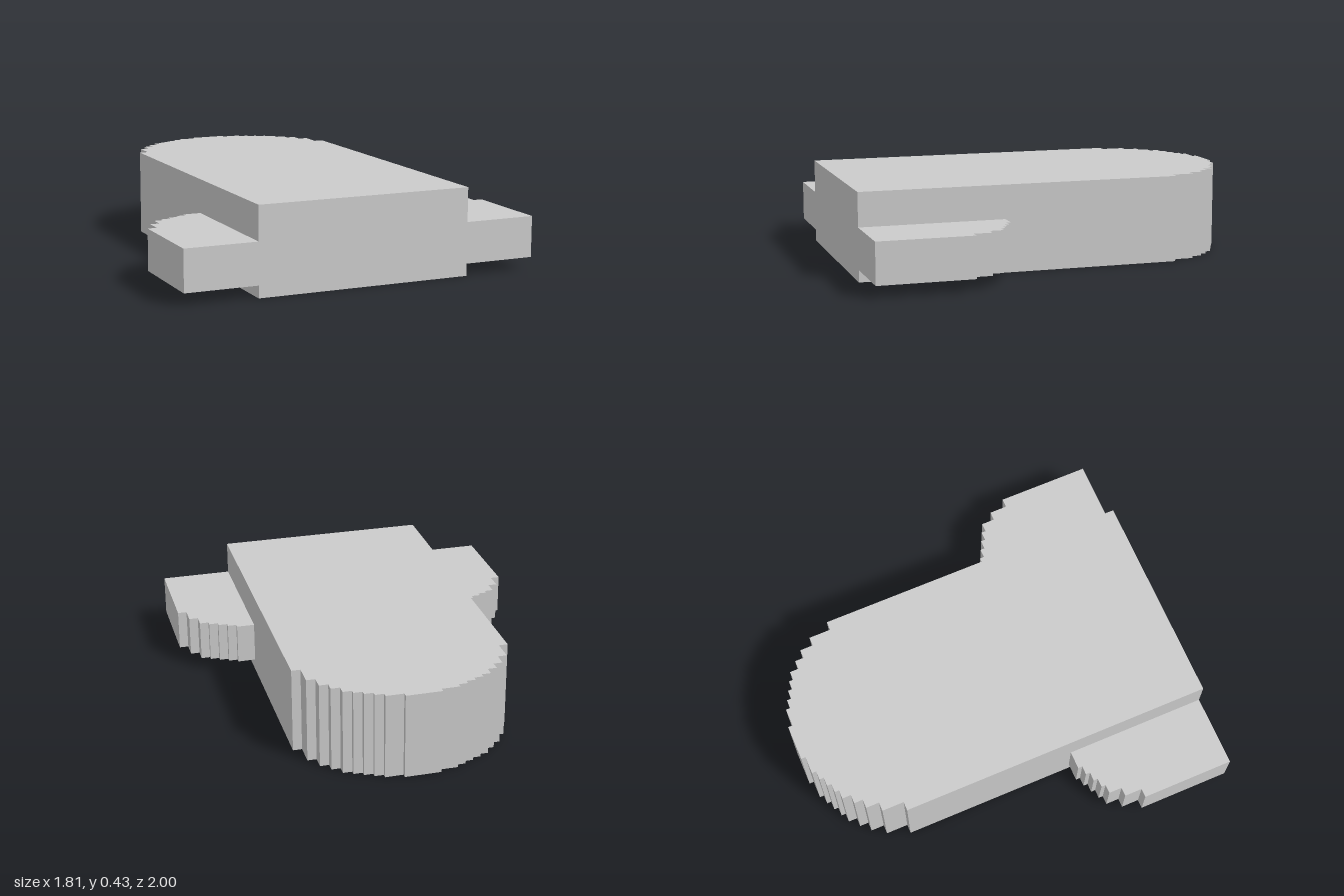
import * as THREE from 'three';

const U = 0.0226; // size of one stair step

// Turns [half width, depth from the rear edge] steps into stair corner points.
// Coordinates are (x, -z), so the rear points up in the shape.
function stairs(steps, rearZ) {
  const points = [];
  steps.forEach(([x, row], i) => {
    const y = -(rearZ + row * U);
    if (i > 0) points.push(new THREE.Vector2(steps[i - 1][0] * U, y));
    points.push(new THREE.Vector2(x * U, y));
  });
  return points;
}

const mirrored = (points) => points.map((p) => new THREE.Vector2(-p.x, p.y));

function slab(name, outline, bottom, top, material) {
  const geometry = new THREE.ExtrudeGeometry(new THREE.Shape(outline), {
    depth: top - bottom,
    bevelEnabled: false,
  });
  geometry.rotateX(-Math.PI / 2);
  geometry.translate(0, bottom, 0);
  const mesh = new THREE.Mesh(geometry, material);
  mesh.name = name;
  return mesh;
}

export function createModel() {
  const group = new THREE.Group();
  group.name = 'steppedBlock';
  const material = new THREE.MeshStandardMaterial({ color: 0xcccccc, flatShading: true });

  // Main body: straight sides, square front, stepped round rear
  const rear = stairs([
    [4, 0], [8, 1], [10, 2], [12, 3], [14, 4],
    [16, 5], [18, 7], [20, 9], [22, 12], [24, 17],
  ], -1);
  const half = [...rear, new THREE.Vector2(24 * U, -1)];
  group.add(slab('body', [...half, ...mirrored(half).reverse()], 0, 0.433, material));

  // Side wings: thinner slabs with a stepped outer rear corner
  const wing = [
    new THREE.Vector2(24 * U, -1),
    new THREE.Vector2(24 * U, -(1 - 32 * U)),
    ...stairs([
      [28, 0], [30, 1], [32, 2], [34, 3], [36, 4], [38, 7], [40, 11],
    ], 1 - 32 * U),
    new THREE.Vector2(40 * U, -1),
  ];
  group.add(slab('leftWing', wing, 0.06, 0.264, material));
  group.add(slab('rightWing', mirrored(wing), 0.06, 0.264, material));

  return group;
}
